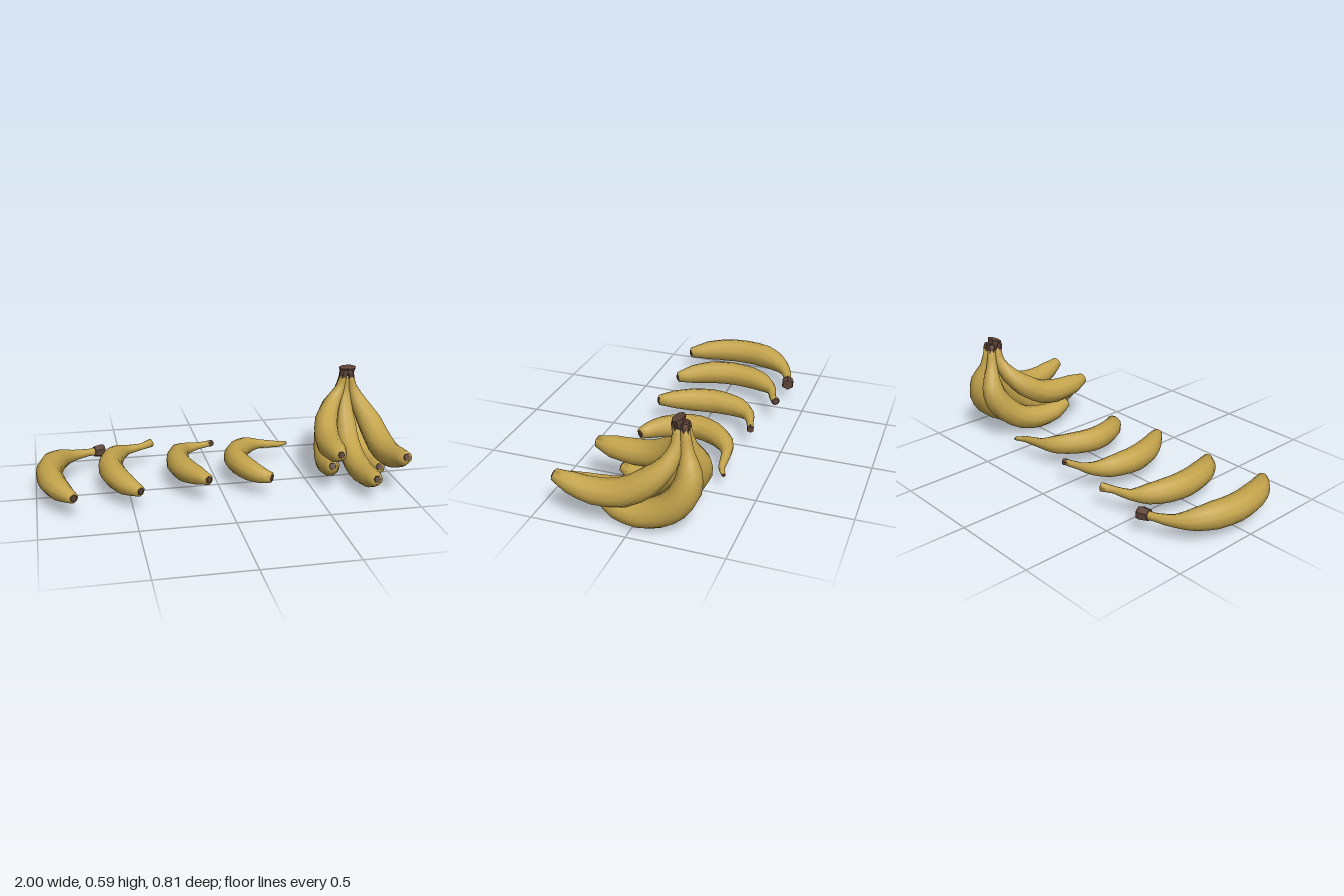
import * as THREE from 'three';

const peel = new THREE.MeshStandardMaterial({ color: 0xc4a44c });
peel.name = 'yellow peel';
const bark = new THREE.MeshStandardMaterial({ color: 0x5c4336 });
bark.name = 'brown stem';

const UP = new THREE.Vector3(0, 1, 0);
const SIDE = new THREE.Vector3(1, 0, 0);

// Closed tube through rings of { p: centre, t: direction, r: radius }
function loft(rings, ref, sides, flat) {
  const pos = [], idx = [];
  for (const { p, t, r } of rings) {
    const u = new THREE.Vector3().crossVectors(t, ref).normalize();
    const v = new THREE.Vector3().crossVectors(u, t).normalize();
    for (let j = 0; j < sides; j++) {
      const a = ((j + 0.5) / sides) * Math.PI * 2;
      const q = p.clone().addScaledVector(u, r * Math.cos(a)).addScaledVector(v, r * Math.sin(a));
      pos.push(q.x, q.y, q.z);
    }
  }
  const n = rings.length;
  for (let i = 0; i < n - 1; i++) {
    for (let j = 0; j < sides; j++) {
      const k = (j + 1) % sides;
      const a = i * sides + j, b = i * sides + k;
      idx.push(a, a + sides, b, b, a + sides, b + sides);
    }
  }
  const last = (n - 1) * sides;
  for (let j = 1; j < sides - 1; j++) {
    idx.push(0, j, j + 1, last, last + j + 1, last + j);
  }
  let g = new THREE.BufferGeometry();
  g.setAttribute('position', new THREE.Float32BufferAttribute(pos, 3));
  g.setIndex(idx);
  if (flat) g = g.toNonIndexed();
  g.computeVertexNormals();
  return g;
}

// One fruit: path rows are [x, y, z, radius] from stem end to blossom end
function banana(name, path, ref, stemRadius, stemLength) {
  const curve = new THREE.CatmullRomCurve3(path.map(([x, y, z]) => new THREE.Vector3(x, y, z)));
  const radii = path.map((row) => row[3]);
  const steps = (path.length - 1) * 2;
  const rings = [];
  for (let i = 0; i <= steps; i++) {
    const k = i / 2, lo = Math.floor(k), hi = Math.ceil(k);
    rings.push({ p: curve.getPoint(i / steps), t: curve.getTangent(i / steps), r: (radii[lo] + radii[hi]) / 2 });
  }
  const group = new THREE.Group();
  group.name = name;
  const add = (part, geometry, material) => {
    const mesh = new THREE.Mesh(geometry, material);
    mesh.name = part;
    group.add(mesh);
  };
  add('fruitBody', loft(rings, ref, 10, false), peel);

  // Slightly flared brown stem end
  const s = rings[0], e = rings[steps];
  const along = (ring, d, r) => ({ p: ring.p.clone().addScaledVector(ring.t, d), t: ring.t, r });
  add('stemEnd', loft([
    along(s, stemLength * 0.7, stemRadius * 0.85),
    along(s, 0, stemRadius),
    along(s, -stemLength * 0.3, stemRadius * 0.85),
  ].reverse(), ref, 6, true), bark);

  // Dark blossom scar
  add('blossomEnd', loft([along(e, -0.004, 0.021), along(e, 0.006, 0.018)], ref, 6, true), bark);
  return group;
}

export function createModel() {
  const model = new THREE.Group();
  model.name = 'bananas';

  // Loose fruit lying in a row
  const loose = new THREE.Group();
  loose.name = 'looseBananas';
  loose.add(
    banana('looseBanana1', [
      [-0.62, 0.112, -0.378, 0.022], [-0.7, 0.113, -0.355, 0.022], [-0.79, 0.118, -0.315, 0.034],
      [-0.855, 0.128, -0.25, 0.056], [-0.9, 0.136, -0.16, 0.07], [-0.925, 0.138, -0.03, 0.072],
      [-0.91, 0.138, 0.1, 0.07], [-0.872, 0.135, 0.21, 0.058], [-0.812, 0.13, 0.308, 0.03],
    ], UP, 0.038, 0.06),
    banana('looseBanana2', [
      [-0.328, 0.138, -0.378, 0.024], [-0.39, 0.132, -0.343, 0.019], [-0.475, 0.13, -0.315, 0.028],
      [-0.535, 0.134, -0.25, 0.053], [-0.575, 0.137, -0.16, 0.064], [-0.592, 0.138, -0.04, 0.068],
      [-0.57, 0.136, 0.09, 0.067], [-0.525, 0.128, 0.19, 0.056], [-0.465, 0.122, 0.27, 0.03],
    ], UP, 0.023, 0.014),
    banana('looseBanana3', [
      [0.018, 0.13, -0.328, 0.017], [-0.07, 0.128, -0.3, 0.021], [-0.14, 0.13, -0.268, 0.036],
      [-0.19, 0.134, -0.2, 0.055], [-0.21, 0.136, -0.11, 0.064], [-0.215, 0.136, -0.03, 0.068],
      [-0.19, 0.138, 0.08, 0.065], [-0.145, 0.145, 0.175, 0.051], [-0.1, 0.15, 0.253, 0.029],
    ], UP, 0.021, 0.035),
    banana('looseBanana4', [
      [0.47, 0.102, -0.318, 0.01], [0.41, 0.11, -0.29, 0.018], [0.29, 0.125, -0.278, 0.028],
      [0.21, 0.134, -0.24, 0.05], [0.145, 0.139, -0.16, 0.061], [0.108, 0.14, -0.06, 0.065],
      [0.115, 0.138, 0.03, 0.064], [0.155, 0.132, 0.13, 0.058], [0.205, 0.125, 0.195, 0.044],
      [0.25, 0.122, 0.225, 0.029],
    ], UP, 0.011, 0.012),
  );

  // Hand of five fruit joined at the stems
  const bunch = new THREE.Group();
  bunch.name = 'bananaBunch';
  bunch.add(
    banana('upperLeftOfBunch', [
      [0.777, 0.56, -0.195, 0.021], [0.757, 0.47, -0.2, 0.028], [0.705, 0.39, -0.175, 0.047],
      [0.65, 0.312, -0.1, 0.066], [0.623, 0.255, 0, 0.07], [0.61, 0.237, 0.1, 0.07],
      [0.608, 0.242, 0.22, 0.06], [0.608, 0.258, 0.31, 0.031],
    ], SIDE, 0.027, 0.05),
    banana('upperRightOfBunch', [
      [0.808, 0.56, -0.195, 0.021], [0.83, 0.465, -0.203, 0.029], [0.868, 0.375, -0.175, 0.05],
      [0.908, 0.28, -0.085, 0.07], [0.925, 0.205, 0.04, 0.074], [0.932, 0.188, 0.18, 0.07],
      [0.94, 0.215, 0.3, 0.056], [0.946, 0.248, 0.384, 0.031],
    ], SIDE, 0.027, 0.05),
    banana('middleOfBunch', [
      [0.792, 0.57, -0.2, 0.021], [0.788, 0.46, -0.205, 0.028], [0.782, 0.37, -0.185, 0.044],
      [0.775, 0.27, -0.13, 0.062], [0.77, 0.175, -0.04, 0.066], [0.77, 0.118, 0.08, 0.067],
      [0.775, 0.104, 0.21, 0.066], [0.782, 0.115, 0.31, 0.056], [0.786, 0.138, 0.392, 0.031],
    ], SIDE, 0.027, 0.05),
    banana('lowerLeftOfBunch', [
      [0.782, 0.545, -0.232, 0.02], [0.768, 0.43, -0.248, 0.034], [0.735, 0.335, -0.275, 0.06],
      [0.712, 0.255, -0.265, 0.072], [0.69, 0.175, -0.21, 0.074], [0.66, 0.115, -0.12, 0.07],
      [0.635, 0.094, -0.02, 0.067], [0.618, 0.105, 0.09, 0.057], [0.607, 0.14, 0.175, 0.03],
    ], SIDE, 0.025, 0.06),
    banana('lowerRightOfBunch', [
      [0.812, 0.55, -0.236, 0.02], [0.825, 0.425, -0.25, 0.035], [0.85, 0.335, -0.272, 0.061],
      [0.866, 0.25, -0.262, 0.076], [0.88, 0.165, -0.21, 0.078], [0.886, 0.102, -0.12, 0.076],
      [0.888, 0.074, -0.02, 0.071], [0.885, 0.085, 0.09, 0.058], [0.88, 0.115, 0.172, 0.03],
    ], SIDE, 0.025, 0.06),
  );

  // Cut crown bridging the stems
  const crown = new THREE.Mesh(new THREE.CylinderGeometry(0.052, 0.04, 0.045, 7).toNonIndexed(), bark);
  crown.geometry.computeVertexNormals();
  crown.name = 'crown';
  crown.scale.z = 0.6;
  crown.position.set(0.797, 0.566, -0.205);
  crown.rotation.x = 0.2;
  bunch.add(crown);

  model.add(loose, bunch);
  return model;
}
